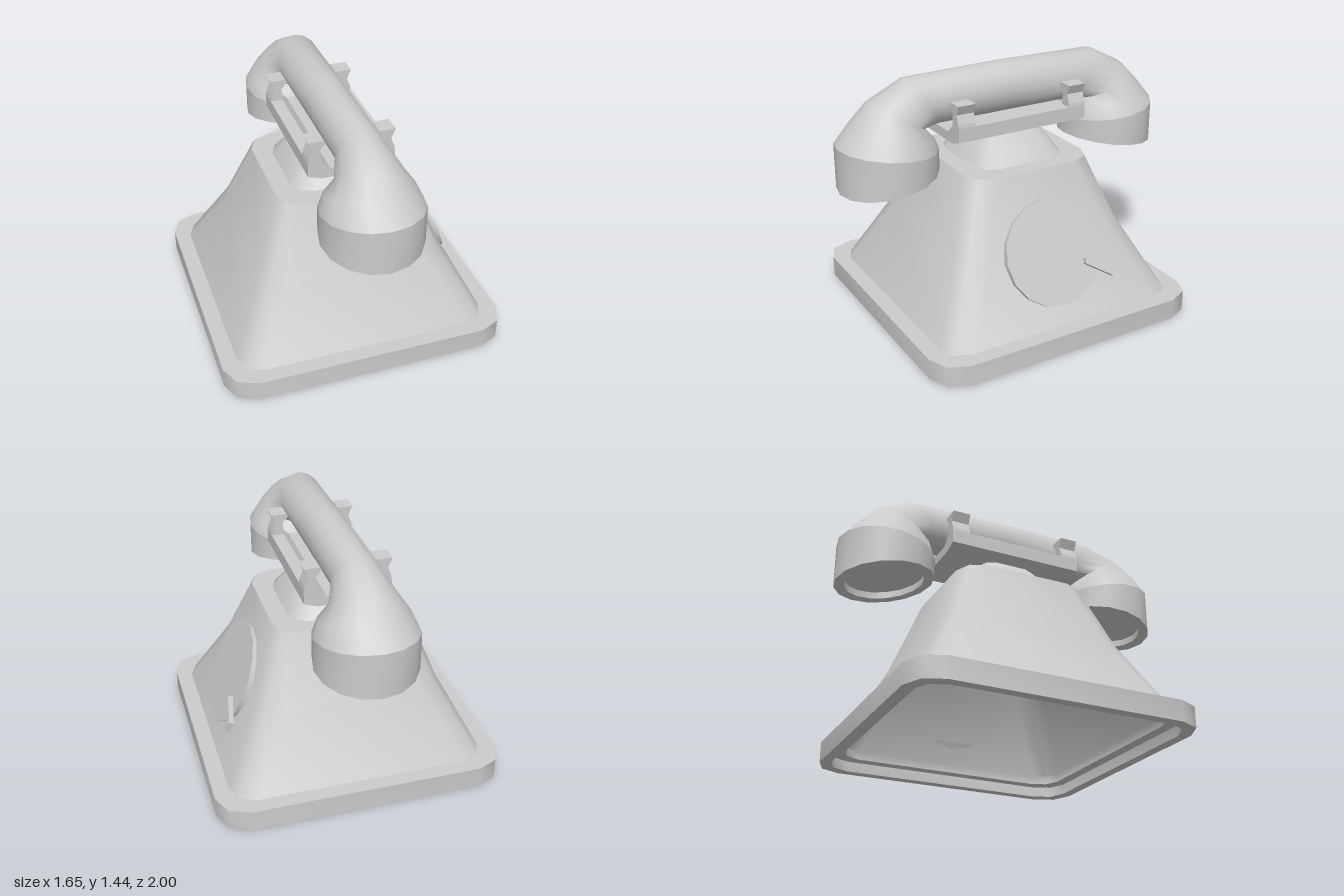
import * as THREE from 'three';
import { toCreasedNormals } from 'three/addons/utils/BufferGeometryUtils.js';

const material = new THREE.MeshStandardMaterial({ color: 0xcccccc, side: THREE.DoubleSide });
const V = (x, y, z) => new THREE.Vector3(x, y, z);
const SIDES = 16;

function addMesh(parent, name, geometry) {
  const mesh = new THREE.Mesh(geometry, material);
  mesh.name = name;
  parent.add(mesh);
  return mesh;
}

// Skin a list of equally sized closed rings; rings shrunk to a point act as caps
function loft(rings, crease) {
  const n = rings[0].length;
  const index = [];
  const isPoint = (ring) => ring[0].distanceTo(ring[Math.floor(n / 2)]) < 1e-6;
  for (let i = 0; i < rings.length - 1; i++) {
    for (let j = 0; j < n; j++) {
      const k = (j + 1) % n;
      const a = i * n + j, b = (i + 1) * n + j, c = (i + 1) * n + k, d = i * n + k;
      if (!isPoint(rings[i + 1])) index.push(a, b, c);
      if (!isPoint(rings[i])) index.push(a, c, d);
    }
  }
  const geometry = new THREE.BufferGeometry().setFromPoints(rings.flat());
  geometry.setIndex(index);
  return toCreasedNormals(geometry, crease);
}

// Square ring with rounded corners: half width h, corner radius r, height y
function squareRing(h, r, y) {
  const ring = [];
  for (let q = 0; q < 4; q++) {
    for (const [x, z] of [[h, h - r], [h - 0.3 * r, h - 0.3 * r], [h - r, h]]) {
      const p = [[x, z], [-z, x], [-x, -z], [z, -x]][q];
      ring.push(V(p[0], y, p[1]));
    }
  }
  return ring;
}

// Elliptic handset ring between a top and a bottom point [z, y], half width w
function handsetRing([zt, yt, zb, yb, w], side) {
  return Array.from({ length: SIDES }, (_, i) => {
    const a = (i / SIDES) * Math.PI * 2;
    const c = Math.cos(a) / 2;
    return V(w * Math.sin(a), (yt + yb) / 2 + (yt - yb) * c, side * ((zt + zb) / 2 + (zt - zb) * c));
  });
}

// Round cup ring whose height follows a sloping line in z
function cupRing(r, yInner, slope) {
  return Array.from({ length: SIDES }, (_, i) => {
    const a = (i / SIDES) * Math.PI * 2;
    const z = 0.7175 + r * Math.cos(a);
    return V(r * Math.sin(a), yInner + slope * (z - 0.435), z);
  });
}

function extrude(points, depth) {
  const shape = new THREE.Shape(points.map(([x, y]) => new THREE.Vector2(x, y)));
  return new THREE.ExtrudeGeometry(shape, { depth, bevelEnabled: false });
}

export function createModel() {
  const model = new THREE.Group();
  model.name = 'telephone';

  // Hollow body: inside from the ceiling down, under the rim, then up the outside
  const bodyProfile = [
    [0, 0, 0.89], [0.36, 0.12, 0.89], [0.505, 0.12, 0.51], [0.70, 0.12, 0.11],
    [0.70, 0.12, 0.06], [0.765, 0.14, 0.06], [0.765, 0.14, 0],
    [0.825, 0.165, 0], [0.825, 0.165, 0.12],
    [0.735, 0.135, 0.12], [0.53, 0.135, 0.52], [0.385, 0.135, 0.915],
    [0.28, 0.11, 0.915], [0.165, 0.08, 1.085], [0.14, 0.07, 1.1], [0, 0, 1.1],
  ];
  addMesh(model, 'body', loft(bodyProfile.map((p) => squareRing(...p)), 0.85));

  // Dial leaning on the left wall, with its finger stop
  const dial = new THREE.Group();
  dial.name = 'dial';
  dial.position.set(0.58, 0.495, 0);
  dial.rotation.z = -1.159;
  model.add(dial);
  const discGeometry = toCreasedNormals(new THREE.CylinderGeometry(0.302, 0.302, 0.05, SIDES), 0.6);
  addMesh(dial, 'dialDisc', discGeometry).position.y = -0.025;
  const stop = extrude([[0.075, 0.17], [0.105, 0.165], [0.213, 0.325], [0.152, 0.335]], 0.03);
  addMesh(dial, 'fingerStop', stop.rotateX(-Math.PI / 2));

  // Cradle: a shallow tray with four waisted prongs
  const cradle = new THREE.Group();
  cradle.name = 'cradle';
  model.add(cradle);
  const half = [[0.17, 1.075], [0.245, 1.1], [0.245, 1.18], [0.175, 1.18], [0.12, 1.13]];
  const tray = [...half, ...half.map(([x, y]) => [-x, y]).reverse()];
  addMesh(cradle, 'cradleTray', extrude(tray, 0.81).translate(0, 0, -0.405));
  const prong = [
    [0.17, 1.17], [0.245, 1.17], [0.24, 1.2], [0.22, 1.25], [0.245, 1.305],
    [0.155, 1.305], [0.145, 1.29], [0.18, 1.25],
  ];
  for (const side of [1, -1]) {
    for (const z of [0.3, -0.405]) {
      const points = prong.map(([x, y]) => [side * x, y]);
      addMesh(cradle, 'prong', extrude(points, 0.105).translate(0, 0, z));
    }
  }

  // Handset: half the handle as [top z, top y, bottom z, bottom y, half width]
  const handset = new THREE.Group();
  handset.name = 'handset';
  model.add(handset);
  const stations = [
    [0, 1.44, 0, 1.15, 0.13], [0.6, 1.43, 0.42, 1.15, 0.13],
    [0.81, 1.32, 0.505, 1.145, 0.18], [0.91, 1.21, 0.455, 1.09, 0.245],
    [1, 1.1, 0.435, 1.035, 0.2825],
  ];
  const rings = [
    ...stations.slice(1).reverse().map((s) => handsetRing(s, -1)),
    ...stations.map((s) => handsetRing(s, 1)),
  ];
  addMesh(handset, 'handle', loft(rings, 1.1));

  // Ear and mouth cups with a recessed underside
  const cup = loft([
    cupRing(0, 0.965, -0.15), cupRing(0.225, 0.965, -0.15), cupRing(0.225, 0.925, -0.15),
    cupRing(0.2825, 0.925, -0.15), cupRing(0.2825, 1.035, 0.115),
  ], 0.7);
  addMesh(handset, 'mouthpiece', cup);
  addMesh(handset, 'earpiece', cup).rotation.y = Math.PI;

  return model;
}
